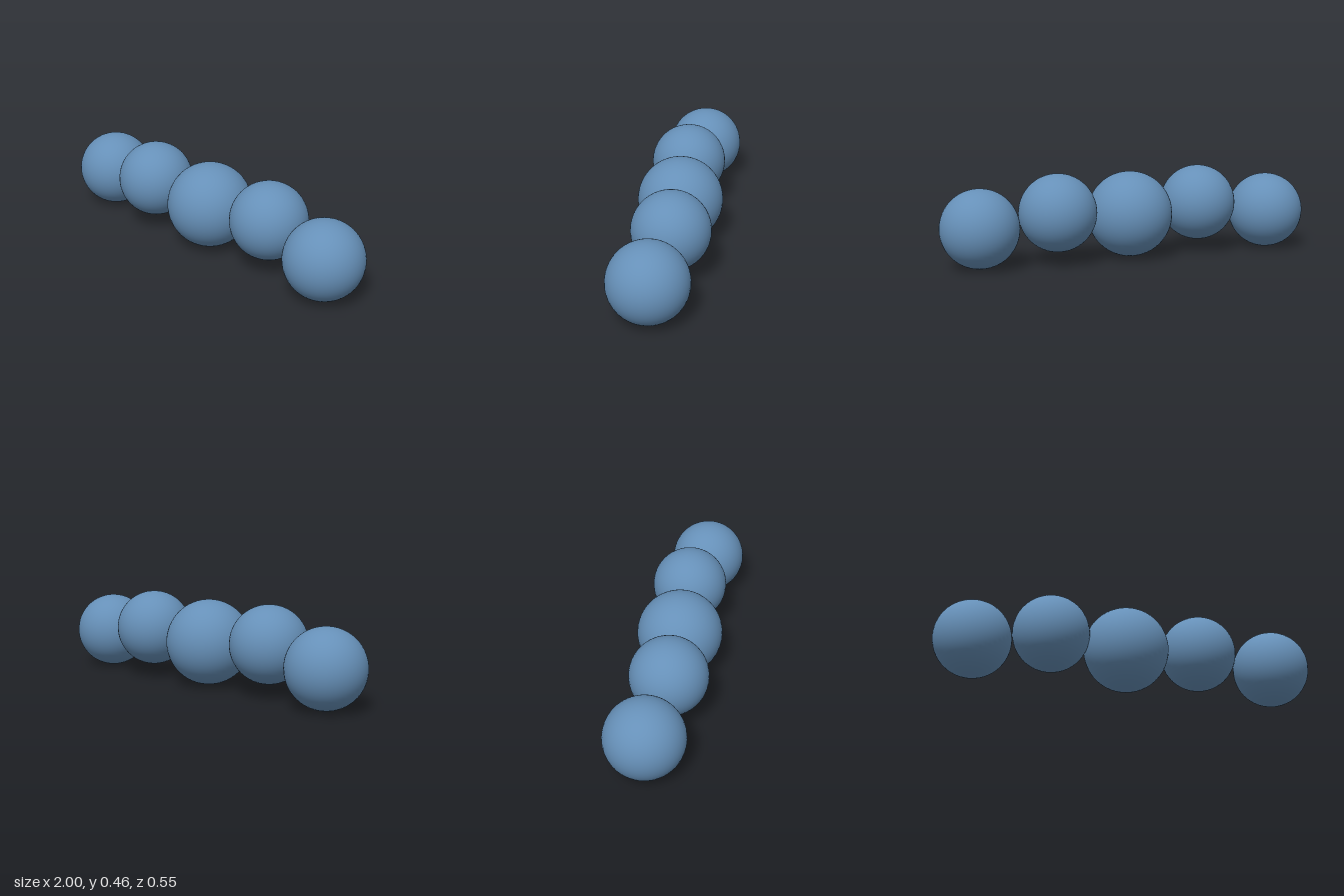
import * as THREE from 'three';

export function createModel() {
  const model = new THREE.Group();
  const blue = new THREE.MeshStandardMaterial({ color: 0x6690b8 });
  blue.name = 'steelBlue';

  const addBall = (name, radius, x, y, z) => {
    const ball = new THREE.Mesh(new THREE.SphereGeometry(radius, 48, 32), blue);
    ball.name = name;
    ball.position.set(x, y, z);
    model.add(ball);
  };

  // Large ball in the middle of the chain
  addBall('centreBall', 0.223, 0, 0.23, 0);

  // Each side is the other turned half way round the vertical axis
  for (const [side, s] of [['left', 1], ['right', -1]]) {
    addBall(side + 'InnerBall', 0.2, s * 0.4, 0.264, s * -0.066);
    addBall(side + 'OuterBall', 0.201, s * 0.799, 0.203, s * -0.072);
  }
  return model;
}
